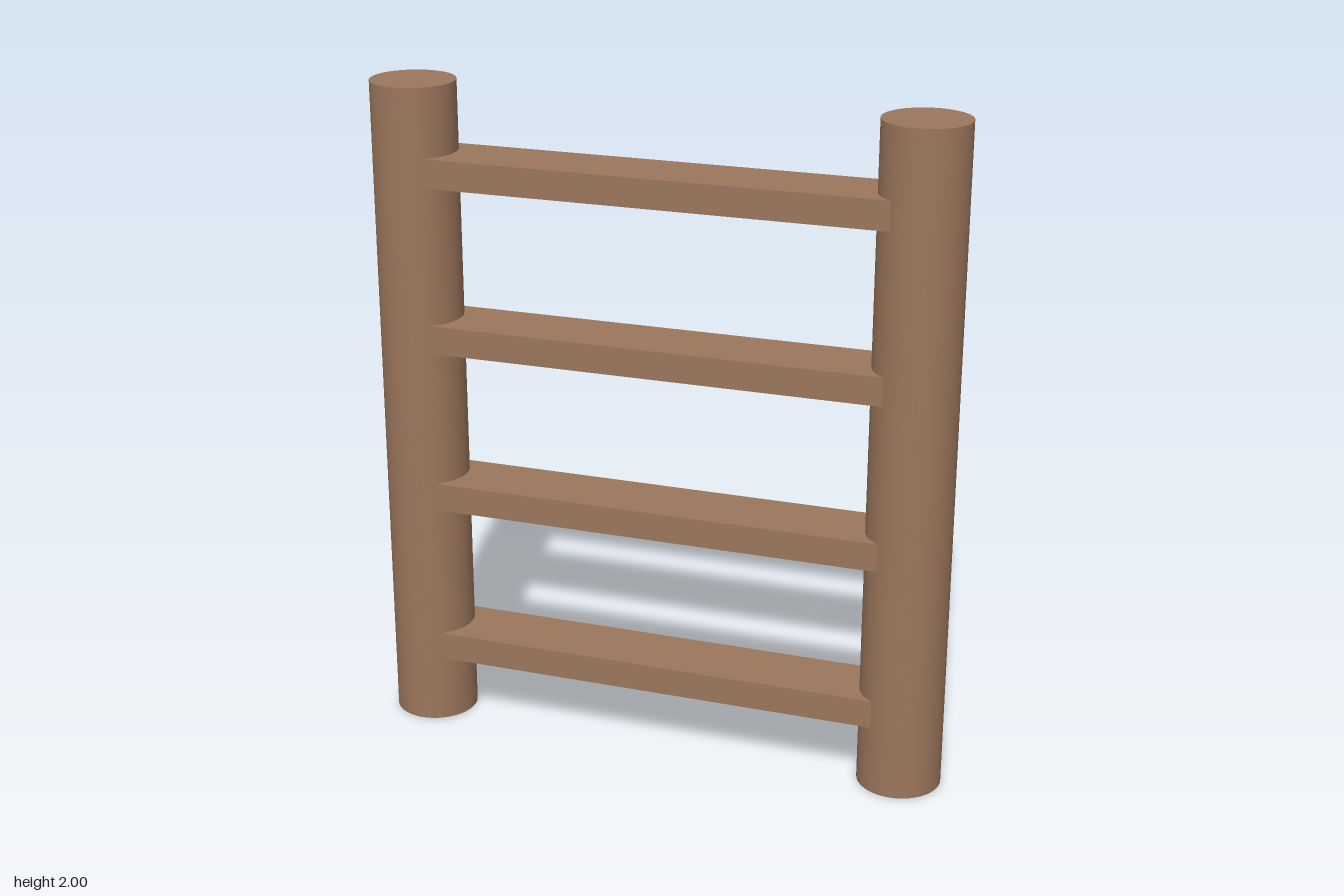
import * as THREE from 'three';

const HEIGHT = 2, POST_RADIUS = 0.125, POST_X = 0.75;

export function createModel() {
  const model = new THREE.Group();
  model.name = 'ladder';
  const wood = new THREE.MeshStandardMaterial({ color: 0x9b765c });

  // Round upright posts
  const postGeometry = new THREE.CylinderGeometry(POST_RADIUS, POST_RADIUS, HEIGHT, 48);
  for (const side of [-1, 1]) {
    const post = new THREE.Mesh(postGeometry, wood);
    post.name = side > 0 ? 'leftPost' : 'rightPost';
    post.position.set(side * POST_X, HEIGHT / 2, 0);
    model.add(post);
  }

  // Flat rungs, evenly spaced, with their ends sunk into the posts
  const rungGeometry = new THREE.BoxGeometry(POST_X * 2, 0.086, 0.21);
  for (let i = 0; i < 4; i++) {
    const rung = new THREE.Mesh(rungGeometry, wood);
    rung.name = `rung${i + 1}`;
    rung.position.y = 0.252 + i * 0.5;
    model.add(rung);
  }
  return model;
}
